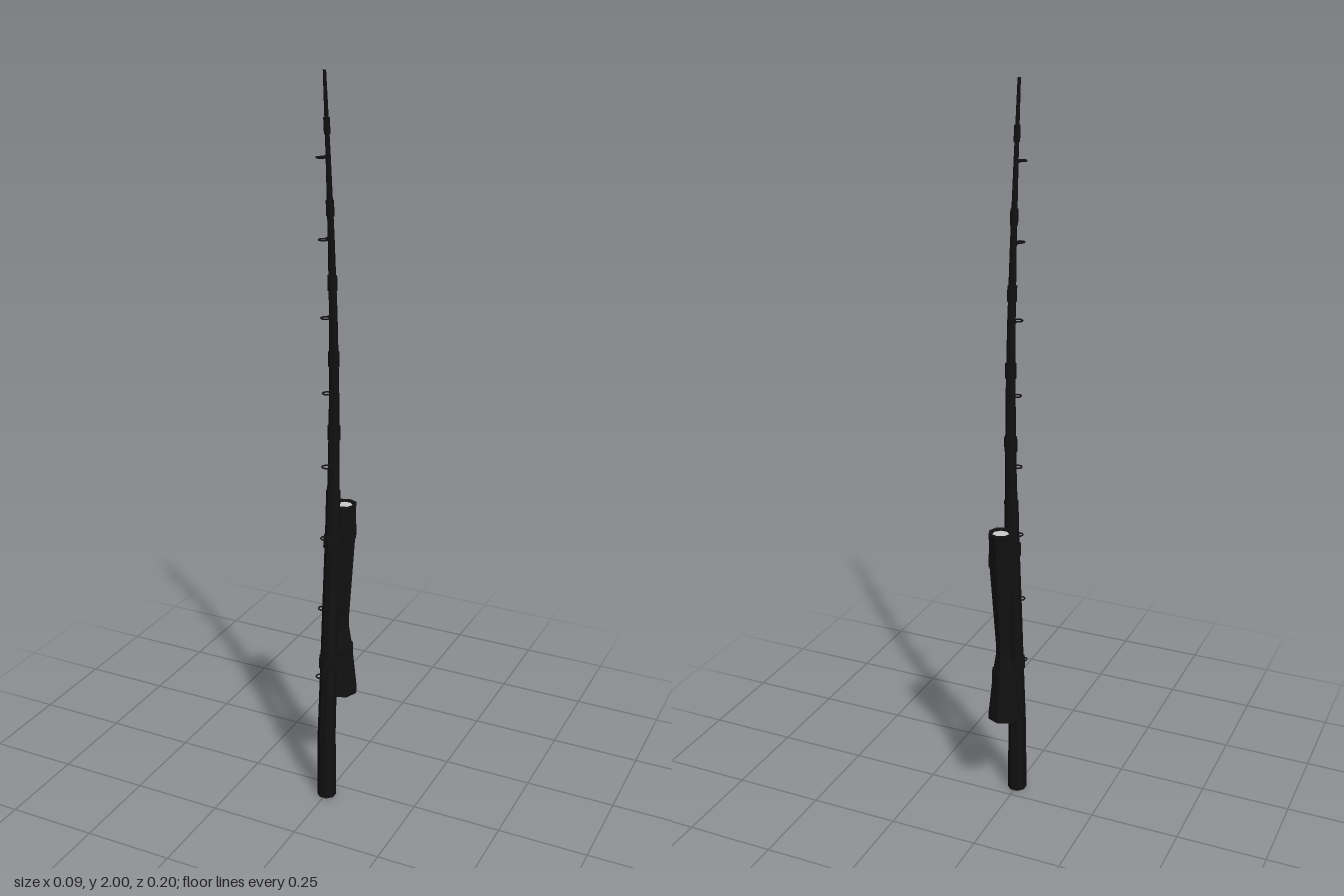
import * as THREE from 'three';

const black = new THREE.MeshStandardMaterial({ color: 0x111111, flatShading: true, side: THREE.DoubleSide });
const glass = new THREE.MeshStandardMaterial({ color: 0xcccccc, flatShading: true });

// Eight-sided horizontal rings [y, z, radius] joined into a closed solid
function loft(sections, phase = 0, sides = 8) {
  const pos = [], idx = [];
  for (const [y, z, r] of sections) {
    for (let i = 0; i < sides; i++) {
      const a = phase + (i / sides) * Math.PI * 2;
      pos.push(Math.sin(a) * r, y, z + Math.cos(a) * r);
    }
  }
  for (let s = 0; s < sections.length - 1; s++) {
    for (let i = 0; i < sides; i++) {
      const a = s * sides + i, b = s * sides + (i + 1) % sides;
      idx.push(a, b, b + sides, a, b + sides, a + sides);
    }
  }
  const last = (sections.length - 1) * sides;
  for (let i = 1; i < sides - 1; i++) {
    idx.push(0, i + 1, i, last, last + i, last + i + 1);
  }
  const geo = new THREE.BufferGeometry();
  geo.setAttribute('position', new THREE.Float32BufferAttribute(pos, 3));
  geo.setIndex(idx);
  geo.computeVertexNormals();
  return geo;
}

function add(parent, name, geo, mat = black) {
  const mesh = new THREE.Mesh(geo, mat);
  mesh.name = name;
  parent.add(mesh);
  return mesh;
}

// Bend of the rod: z at a given height
const bend = [[0, 0.048], [0.2, 0.048], [0.4, 0.035], [0.6, 0.023], [0.8, 0.01],
  [1, 0.002], [1.2, 0], [1.4, 0.005], [1.6, 0.017], [1.8, 0.033], [2, 0.052]];
function rodZ(y) {
  const i = Math.min(Math.floor(y / 0.2 + 1e-6), 9);
  return THREE.MathUtils.lerp(bend[i][1], bend[i + 1][1], (y - bend[i][0]) / 0.2);
}

// Thickness of the rod at a given height
function rodR(y) {
  if (y < 0.9) return THREE.MathUtils.lerp(0.027, 0.019, y / 0.9);
  return THREE.MathUtils.lerp(0.0165, 0.004, (y - 0.9) / 1.1);
}

export function createModel() {
  const group = new THREE.Group();
  const turn = Math.PI / 8;

  // Tapered, bent rod
  const heights = [0, 0.2, 0.3, 0.4, 0.6, 0.8, 0.899, 0.9, 1, 1.2, 1.4, 1.6, 1.8, 2];
  add(group, 'rod', loft(heights.map(y => [y, rodZ(y), rodR(y)]), turn));

  // Collars at the joints
  for (const y of [0.9, 1.08, 1.28, 1.48, 1.67, 1.87]) {
    const r = rodR(y) + 0.0025;
    add(group, 'rodCollar', loft([[y - 0.02, rodZ(y - 0.02), r], [y + 0.02, rodZ(y + 0.02), r]], turn));
  }

  // Line guides: flat rings on short stems
  const guideReach = [0.099, 0.083, 0.068, 0.06, 0.055, 0.063, 0.074, 0.085];
  guideReach.forEach((reach, i) => {
    const y = 0.4 + i * 0.2;
    const guide = new THREE.Group();
    guide.name = 'lineGuide';
    const ring = add(guide, 'guideRing', new THREE.TorusGeometry(0.0115, 0.002, 6, 16));
    ring.rotation.x = Math.PI / 2;
    ring.position.set(0, y, reach - 0.0135);
    const start = rodZ(y), end = reach - 0.025;
    if (end > start) {
      const stem = add(guide, 'guideStem', new THREE.BoxGeometry(0.004, 0.004, end - start));
      stem.position.set(0, y, (start + end) / 2);
    }
    group.add(guide);
  });

  // Sighting scope, leaning slightly backwards, with recessed ends
  const scope = new THREE.Group();
  scope.name = 'scope';
  add(scope, 'scopeBody', loft([
    [0.305, -0.045, 0.038], [0.29, -0.045, 0.038], [0.29, -0.045, 0.047],
    [0.43, -0.047, 0.031], [0.49, -0.048, 0.021], [0.52, -0.05, 0.021],
    [0.77, -0.061, 0.034], [0.855, -0.064, 0.034], [0.855, -0.064, 0.025], [0.845, -0.064, 0.025],
  ]));
  add(scope, 'eyeLens', loft([[0.844, -0.064, 0.024], [0.85, -0.064, 0.023]], turn), glass);
  add(scope, 'frontLens', loft([[0.296, -0.045, 0.036], [0.306, -0.045, 0.036]]), glass);
  group.add(scope);

  // Mounts: a clamp on the rod, a band on the scope and a bridge between
  for (const [y, z, bandR] of [[0.42, -0.047, 0.034], [0.775, -0.061, 0.036]]) {
    const mount = new THREE.Group();
    mount.name = 'scopeMount';
    const r = rodR(y) + 0.005;
    add(mount, 'rodClamp', loft([[y - 0.015, rodZ(y - 0.015), r], [y + 0.015, rodZ(y + 0.015), r]]));
    add(mount, 'scopeBand', loft([[y - 0.015, z, bandR], [y + 0.015, z, bandR]]));
    const bridge = add(mount, 'bridge', new THREE.BoxGeometry(0.022, 0.03, rodZ(y) - z));
    bridge.position.set(0, y, (rodZ(y) + z) / 2);
    group.add(mount);
  }
  return group;
}
